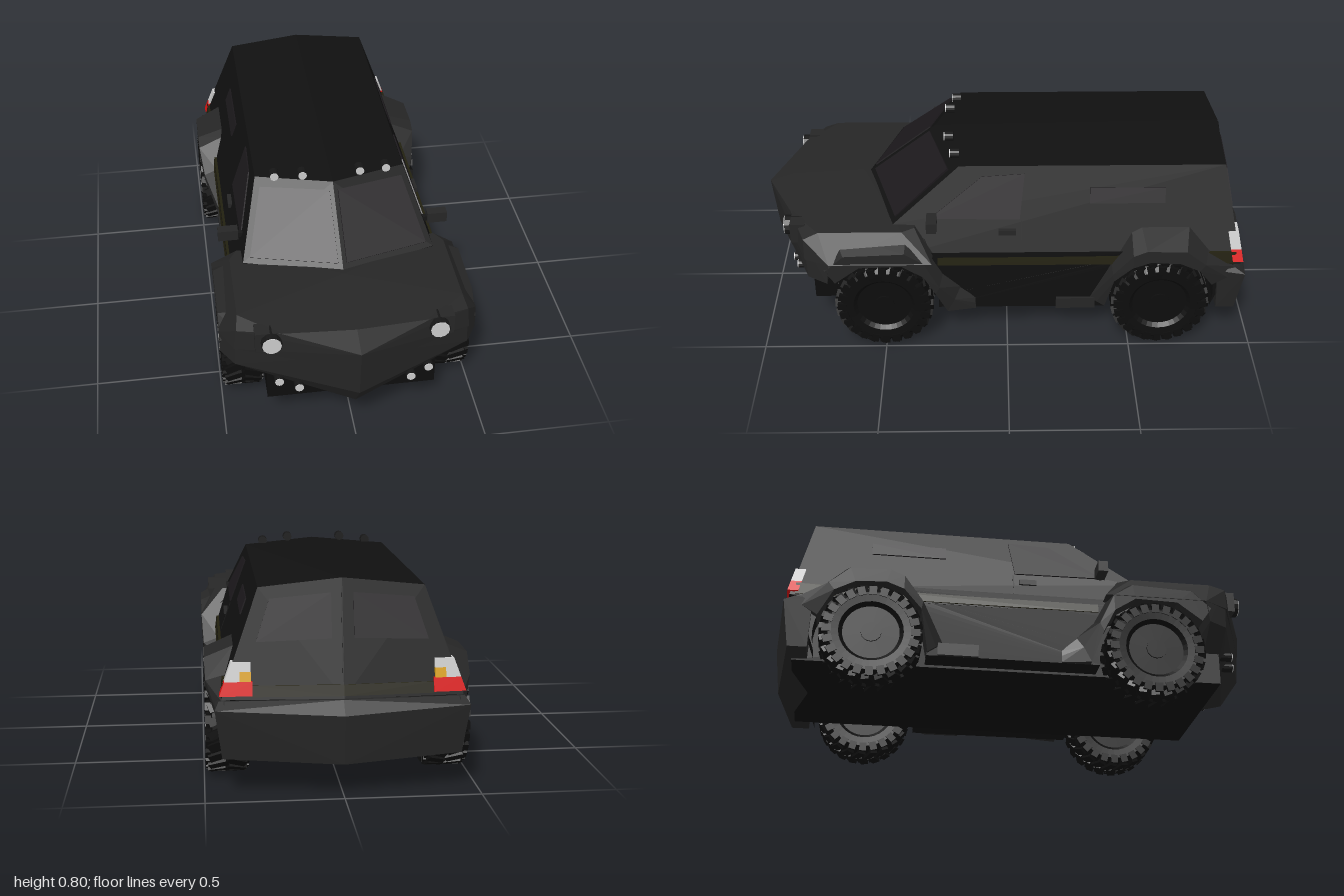
import * as THREE from 'three';
import { ConvexGeometry } from 'three/addons/geometries/ConvexGeometry.js';
import { mergeGeometries } from 'three/addons/utils/BufferGeometryUtils.js';

const mat = (color) => new THREE.MeshStandardMaterial({ color, flatShading: true });
const PAINT = mat(0x101010), PANEL = mat(0x262626), GLASS = mat(0x1c191c), RUBBER = mat(0x0d0d0d);
const STRIPE = mat(0x22200f), TRIM = mat(0x161616), LENS = mat(0xcccccc);
const RED = mat(0xdd1111), AMBER = mat(0xd9a010);

// Sloping planes of the cabin
const sideX = (y) => 0.30 + (0.75 - y) * 0.36;
const rearZ = (x, y) => -0.875 - 0.21 * (0.782 - y) + 0.05 * x;
const windZ = (x, y) => 0.29 + 1.289 * (0.765 - y) - 0.364 * x;

const hull = (pts) => {
  const g = new ConvexGeometry(pts.map((p) => new THREE.Vector3(...p)));
  g.deleteAttribute('uv');
  return g;
};
const flip = (pts) => pts.map(([x, y, z]) => [-x, y, z]);
const symHull = (pts) => hull([...pts, ...flip(pts.filter((p) => p[0] !== 0))]);

export function createModel() {
  const root = new THREE.Group();
  const add = (name, geo, material) => {
    const m = new THREE.Mesh(geo, material);
    m.name = name;
    root.add(m);
    return m;
  };
  const box = (name, w, h, d, x, y, z, material) =>
    add(name, new THREE.BoxGeometry(w, h, d).translate(x, y, z), material);
  // Convex part on both sides
  const pair = (name, pts, material) => {
    add(name + 'Left', hull(pts), material);
    add(name + 'Right', hull(flip(pts)), material);
  };
  // Thin plate between two offsets along a direction
  const plate = (name, pts, dir, material, out = 0.005, back = -0.012) =>
    pair(name, [out, back].flatMap((k) => pts.map((p) => p.map((v, i) => v + dir[i] * k))), material);

  // Cabin
  const rear = (x, y) => [x, y, rearZ(x, y)];
  add('cabin', symHull([
    [0, 0.765, 0.29], [0.30, 0.75, 0.19], [0, 0.54, 0.58], [sideX(0.53), 0.53, 0.455],
    [0, 0.36, 0.58], [sideX(0.4), 0.4, 0.455], [0.43, 0.36, 0.455],
    rear(0, 0.782), rear(0.30, 0.75), rear(0, 0.36), rear(sideX(0.4), 0.4), rear(0.435, 0.36),
  ]), PAINT);

  // Lower sides with wheel arches
  const s = new THREE.Shape();
  s.moveTo(-0.93, 0.14);
  s.absarc(-0.62, 0.2, 0.225, Math.PI + 0.27, -0.27, true);
  s.absarc(0.5, 0.2, 0.225, Math.PI + 0.27, 0.6, true);
  s.lineTo(0.69, 0.4);
  s.lineTo(-0.93, 0.4);
  const tub = new THREE.ExtrudeGeometry(s, { depth: 0.866, bevelEnabled: false, curveSegments: 10 });
  tub.translate(0, 0, -0.433).rotateY(-Math.PI / 2);
  const tp = tub.attributes.position;
  for (let i = 0; i < tp.count; i++) tp.setX(i, tp.getX(i) * (1 - Math.max(0, 0.36 - tp.getY(i)) * 0.12));
  add('lowerBody', tub, PAINT);
  box('chassis', 0.66, 0.30, 1.72, 0, 0.28, -0.06, RUBBER);

  // Hood and wedge nose
  add('hood', symHull([
    [0, 0.55, 0.60], [0, 0.532, 0.9], [0, 0.497, 1], [0, 0.41, 0.992],
    [0.40, 0.525, 0.37], [0.43, 0.525, 0.42], [0.43, 0.525, 0.75], [0.28, 0.525, 0.875],
    [0.44, 0.5, 0.81], [0.5, 0.415, 0.30], [0.5, 0.415, 0.71], [0.45, 0.41, 0.81],
    [0.44, 0.41, 0.32], [0, 0.41, 0.5],
  ]), PANEL);
  add('nose', symHull([
    [0, 0.497, 1], [0, 0.285, 0.98], [0, 0.17, 0.9], [0, 0.17, 0.83], [0.44, 0.5, 0.81],
    [0.5, 0.415, 0.71], [0.5, 0.325, 0.72], [0.45, 0.325, 0.80], [0.3, 0.25, 0.81],
    [0.3, 0.25, 0.74], [0, 0.45, 0.72],
  ]), PANEL);

  // Rear bumper
  add('rearBumper', symHull([
    [0, 0.352, -0.95], [0.445, 0.35, -0.92], [0, 0.305, -1], [0.46, 0.325, -0.96],
    [0, 0.12, -0.98], [0.435, 0.14, -0.935], [0.435, 0.14, -0.86], [0.455, 0.34, -0.85], [0, 0.13, -0.86],
  ]), PANEL);

  // Fenders: sections of outer z, y, inner z, y and width
  const fenders = {
    frontFender: [
      [0.13, 0.19, 0.13, 0.14, 0.43], [0.19, 0.25, 0.245, 0.14, 0.45], [0.26, 0.32, 0.29, 0.26, 0.49],
      [0.33, 0.47, 0.335, 0.35, 0.498], [0.40, 0.515, 0.42, 0.405, 0.498],
      [0.70, 0.50, 0.59, 0.40, 0.498], [0.76, 0.43, 0.69, 0.325, 0.498],
    ],
    rearFender: [
      [-0.34, 0.19, -0.40, 0.15, 0.435], [-0.42, 0.37, -0.43, 0.31, 0.48], [-0.50, 0.49, -0.50, 0.385, 0.494],
      [-0.54, 0.51, -0.57, 0.412, 0.494], [-0.73, 0.51, -0.69, 0.405, 0.494],
      [-0.81, 0.42, -0.77, 0.365, 0.49], [-0.94, 0.34, -0.83, 0.27, 0.455],
    ],
  };
  const section = ([zo, yo, zi, yi, w]) => {
    const xo = Math.min(0.425, sideX(yo)), mix = (a, b) => a + (b - a) * 0.45;
    return [[xo, yo, zo], [w, mix(yo, yi), mix(zo, zi)], [w, yi, zi], [0.35, yi, zi]];
  };
  for (const [name, rows] of Object.entries(fenders)) {
    for (const side of [1, -1]) {
      const parts = rows.slice(1).map((r, i) => {
        const pts = [...section(rows[i]), ...section(r)];
        return hull(side > 0 ? pts : flip(pts));
      });
      add(name + (side > 0 ? 'Left' : 'Right'), mergeGeometries(parts), PANEL);
    }
  }

  // Windows
  const onSide = ([z, y]) => [sideX(y), y, z];
  const sideDir = [0.94, 0.34, 0];
  plate('windshield', [[0.016, 0.742], [0.285, 0.728], [0.35, 0.545], [0.016, 0.56]]
    .map(([x, y]) => [x, y, windZ(x, y)]), [0.21, 0.77, 0.6], GLASS);
  plate('frontSideWindow', [[0.31, 0.55], [0.10, 0.71], [-0.07, 0.72], [-0.05, 0.545]].map(onSide), sideDir, GLASS);
  plate('rearSideWindow', [[-0.33, 0.605], [-0.33, 0.665], [-0.63, 0.665], [-0.63, 0.605]].map(onSide), sideDir, GLASS);
  plate('rearWindow', [[0.04, 0.73], [0.26, 0.71], [0.31, 0.56], [0.04, 0.57]]
    .map(([x, y]) => rear(x, y)), [0, 0.2, -0.98], GLASS);

  // Stripe around the body and door details
  plate('sideStripe', [[0.435, 0.365, 0.28], [0.428, 0.415, 0.28], [0.428, 0.415, -0.92], [0.435, 0.365, -0.92]],
    [1, 0, 0], STRIPE, 0.003);
  plate('rearStripe', [rear(0, 0.37), rear(0, 0.41), rear(0.33, 0.41), rear(0.33, 0.37)], [0, 0, -1], STRIPE, 0.004);
  plate('doorSeam', [[-0.055, 0.42], [-0.055, 0.54], [-0.06, 0.54], [-0.06, 0.42]].map(onSide), sideDir, RUBBER, 0.003);
  plate('tailgateSeam', [rear(0, 0.42), rear(0, 0.77), rear(0.004, 0.77), rear(0.004, 0.42)], [0, 0, -1], RUBBER, 0.003);

  // Tail lights
  const tail = (name, x0, x1, y0, y1, material) =>
    plate(name, [[x0, y0], [x1 ?? sideX(y0) + 0.008, y0], [x1 ?? sideX(y1) + 0.008, y1], [x0, y1]]
      .map(([x, y]) => rear(x, y)), [0, 0, -1], material, 0.012, -0.03);
  tail('tailLightRed', 0.325, null, 0.375, 0.425, RED);
  tail('tailLightAmber', 0.33, 0.37, 0.425, 0.46, AMBER);
  tail('tailLightWhite', 0.37, null, 0.425, 0.46, LENS);
  tail('tailLightTop', 0.33, null, 0.46, 0.492, LENS);

  // Round lamps: housing and lens facing forward
  const lamp = (name, x, y, z, r, depth) => {
    for (const k of [1, -1]) {
      const disc = (rad, d, zc) => new THREE.CylinderGeometry(rad, rad, d, 12).rotateX(Math.PI / 2).translate(k * x, y, zc);
      add(name + 'Housing', disc(r * 1.1, depth, z - depth / 2), TRIM);
      add(name + 'Lens', disc(r, 0.006, z + 0.001), LENS);
    }
  };
  lamp('headlight', 0.315, 0.487, 0.895, 0.036, 0.07);
  lamp('outerFogLight', 0.288, 0.27, 0.865, 0.017, 0.06);
  lamp('innerFogLight', 0.215, 0.255, 0.89, 0.017, 0.06);
  lamp('outerRoofLight', 0.225, 0.765, 0.225, 0.017, 0.035);
  lamp('innerRoofLight', 0.115, 0.778, 0.25, 0.017, 0.035);

  // Mirrors, handles, headlight surrounds and side steps
  for (const k of [1, -1]) {
    box('headlightSurround', 0.12, 0.085, 0.06, k * 0.315, 0.483, 0.84, PANEL);
    box('mirrorArm', 0.05, 0.02, 0.02, k * 0.38, 0.555, 0.30, TRIM);
    box('mirror', 0.08, 0.045, 0.04, k * 0.425, 0.563, 0.30, PANEL);
    box('doorHandle', 0.02, 0.022, 0.07, k * (sideX(0.5) + 0.004), 0.498, 0.0, PANEL);
    box('sideStep', 0.03, 0.05, 0.16, k * 0.42, 0.165, -0.28, PANEL);
  }

  // Wheels: tyre, hub and two staggered rows of slanted lugs
  const tyre = [[0.02, -0.06], [0.11, -0.06], [0.125, -0.075], [0.165, -0.078], [0.188, -0.055],
    [0.188, 0.055], [0.165, 0.078], [0.125, 0.075], [0.11, 0.06], [0.001, 0.06]].map((p) => new THREE.Vector2(...p));
  const wheelParts = [new THREE.LatheGeometry(tyre, 32).rotateZ(-Math.PI / 2).toNonIndexed()];
  const lugs = 24;
  for (let i = 0; i < lugs; i++) {
    for (const k of [1, -1]) {
      wheelParts.push(new THREE.BoxGeometry(0.072, 0.026, 0.032).rotateY(k * 0.4)
        .translate(k * 0.034, 0.186, 0).rotateX(((i + (k > 0 ? 0 : 0.3)) / lugs) * Math.PI * 2).toNonIndexed());
      wheelParts.push(new THREE.BoxGeometry(0.022, 0.036, 0.03)
        .translate(k * 0.07, 0.17, 0).rotateX((i / lugs) * Math.PI * 2).toNonIndexed());
    }
  }
  wheelParts.push(new THREE.CylinderGeometry(0.04, 0.05, 0.13, 12).rotateZ(-Math.PI / 2).toNonIndexed());
  const wheelGeo = mergeGeometries(wheelParts);
  for (const [name, z] of [['frontWheel', 0.5], ['rearWheel', -0.62]]) {
    for (const k of [1, -1]) {
      const w = add(name + (k > 0 ? 'Left' : 'Right'), wheelGeo, RUBBER);
      w.position.set(k * 0.413, 0.2, z);
      if (k < 0) w.rotation.y = Math.PI;
    }
  }
  return root;
}
